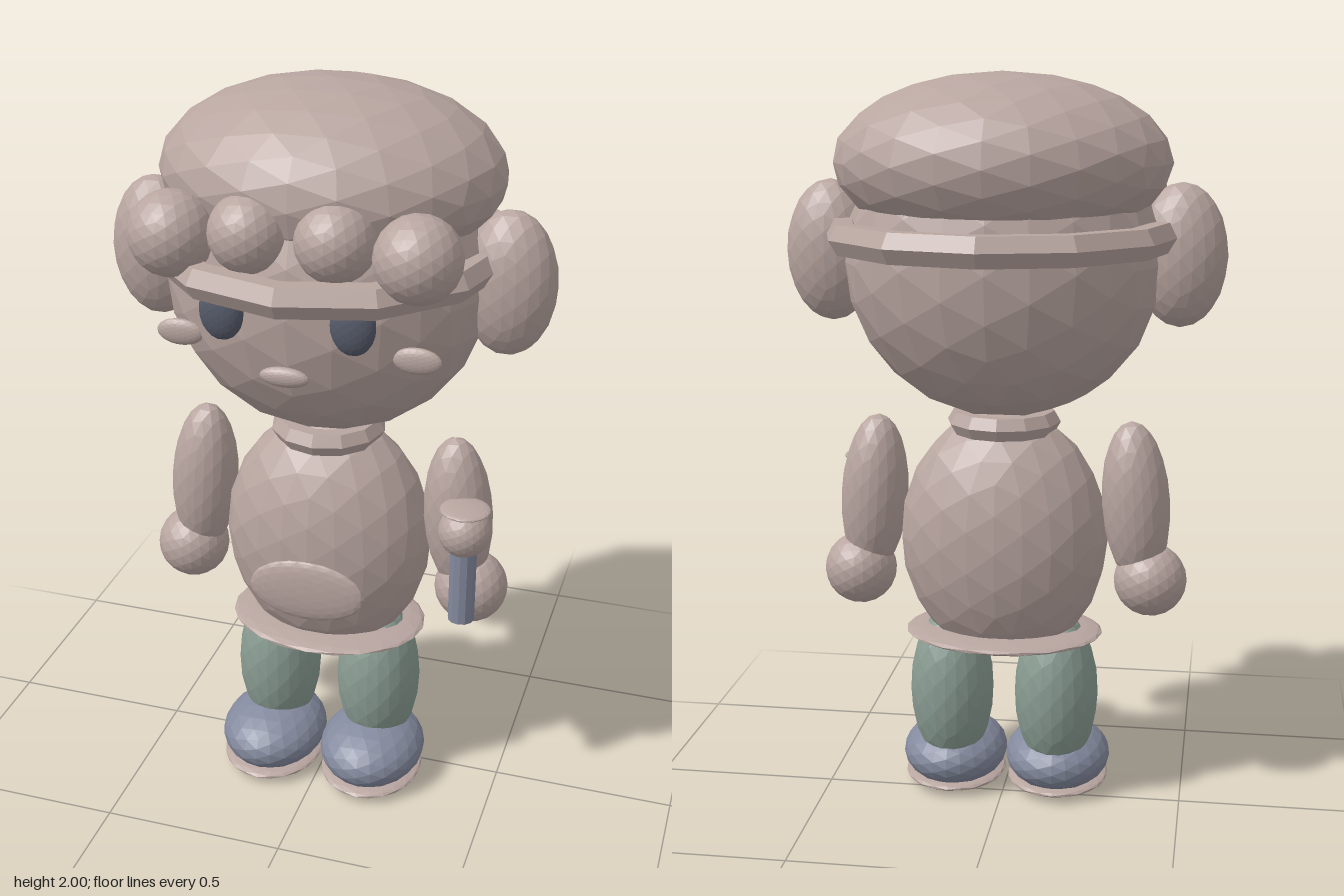
import * as THREE from 'three';

export function createModel() {
  const model = new THREE.Group();
  model.name = 'figure';

  const paint = (name, color) => {
    const m = new THREE.MeshStandardMaterial({ color, flatShading: true });
    m.name = name;
    return m;
  };
  const clay = paint('rosy clay', 0xb8a5a0);
  const green = paint('sage green', 0x8a9d93);
  const blue = paint('slate blue', 0x848a9e);
  const dark = paint('dark slate', 0x575c6b);

  const ball = new THREE.IcosahedronGeometry(1, 3);

  const add = (name, geometry, material, pos) => {
    const mesh = new THREE.Mesh(geometry, material);
    mesh.name = name;
    mesh.position.set(...pos);
    model.add(mesh);
    return mesh;
  };
  // Faceted ellipsoid from centre and radii
  const blob = (name, material, pos, radii) => {
    const mesh = add(name, ball, material, pos);
    mesh.scale.set(...radii);
    return mesh;
  };
  // Horizontal ring with a six-sided section
  const ring = (name, material, pos, radius, tube) => {
    const geometry = new THREE.TorusGeometry(radius, tube, 6, 12).rotateX(Math.PI / 2);
    return add(name, geometry, material, pos);
  };

  // Head, cap of hair and headband
  blob('head', clay, [0, 1.51, 0.025], [0.425, 0.42, 0.36]);
  blob('hairCap', clay, [0, 1.77, -0.005], [0.445, 0.23, 0.367]);
  ring('headband', clay, [0, 1.583, 0], 0.43, 0.045);
  blob('nose', clay, [0, 1.368, 0.39], [0.063, 0.026, 0.018]);

  // Torso, collar, belly patch and waistband
  blob('torso', clay, [0, 0.75, 0.03], [0.287, 0.353, 0.205]);
  ring('collar', clay, [0, 1.075, 0.03], 0.12, 0.035);
  blob('bellyPatch', clay, [0, 0.668, 0.233], [0.16, 0.09, 0.02]);
  blob('waistband', clay, [0, 0.477, 0.03], [0.275, 0.024, 0.212]);

  for (const s of [1, -1]) {
    const side = s > 0 ? 'left' : 'right';
    // Curls and face details
    blob(side + 'OuterCurl', clay, [s * 0.307, 1.677, 0.318], [0.108, 0.108, 0.108]);
    blob(side + 'InnerCurl', clay, [s * 0.108, 1.7, 0.322], [0.1, 0.1, 0.1]);
    blob(side + 'Ear', clay, [s * 0.468, 1.53, 0.03], [0.122, 0.19, 0.093]);
    blob(side + 'Eye', dark, [s * 0.165, 1.512, 0.368], [0.057, 0.075, 0.03]);
    blob(side + 'Cheek', clay, [s * 0.305, 1.41, 0.295], [0.062, 0.035, 0.017]);

    // Arms and hands
    blob(side + 'Arm', clay, [s * 0.362, 0.855, 0.028], [0.093, 0.228, 0.088]).rotation.z = s * 0.07;
    blob(side + 'Hand', clay, [s * 0.405, 0.64, 0.027], [0.1, 0.1, 0.1]);

    // Legs, shoes and soles
    blob(side + 'Leg', green, [s * 0.148, 0.3, 0.03], [0.117, 0.235, 0.123]);
    blob(side + 'Shoe', blue, [s * 0.148, 0.092, 0.085], [0.148, 0.092, 0.175]);
    blob(side + 'Sole', clay, [s * 0.148, 0.027, 0.09], [0.143, 0.022, 0.17]);
  }

  // Held microphone
  add('microphoneHandle', new THREE.CylinderGeometry(0.036, 0.036, 0.24, 12), blue, [0.405, 0.725, 0.142]);
  blob('microphoneHead', clay, [0.405, 0.873, 0.142], [0.07, 0.07, 0.07]);
  blob('microphoneCap', clay, [0.405, 0.937, 0.142], [0.067, 0.012, 0.065]);

  return model;
}
